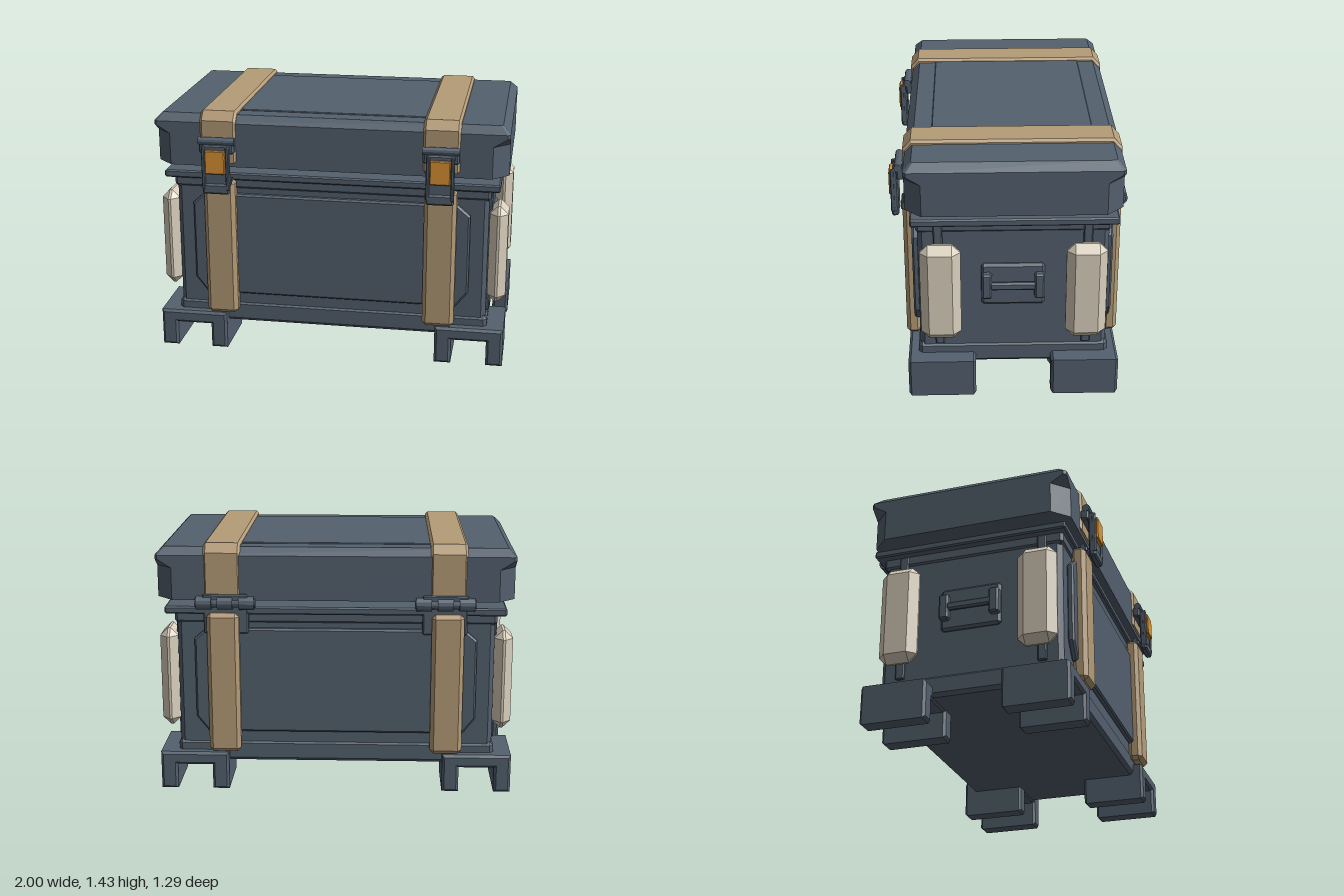
import * as THREE from 'three';
import { ConvexGeometry } from 'three/addons/geometries/ConvexGeometry.js';

const mat = (name, color) => {
  const m = new THREE.MeshStandardMaterial({ color });
  m.name = name;
  return m;
};

export function createModel() {
  const slate = mat('slate shell', 0x53606e);
  const tan = mat('tan strap', 0xb59c77);
  const cream = mat('cream bumper', 0xd9cfbc);
  const orange = mat('orange latch tab', 0xdd9434);

  const root = new THREE.Group();
  root.name = 'storageCrate';
  const add = (name, geometry, material, parent = root) => {
    const m = new THREE.Mesh(geometry, material);
    m.name = name;
    parent.add(m);
    return m;
  };

  // Box between two corners with every edge chamfered by c
  const box = (name, material, [x0, x1], [y0, y1], [z0, z1], c = 0.01, parent = root) => {
    const h = [Math.abs(x1 - x0) / 2, Math.abs(y1 - y0) / 2, Math.abs(z1 - z0) / 2];
    const pts = [];
    for (const sx of [-1, 1]) for (const sy of [-1, 1]) for (const sz of [-1, 1]) {
      for (let k = 0; k < 3; k++) {
        const v = h.map((e, i) => (i === k ? e : e - c));
        pts.push(new THREE.Vector3(sx * v[0], sy * v[1], sz * v[2]));
      }
    }
    const m = add(name, new ConvexGeometry(pts), material, parent);
    m.position.set((x0 + x1) / 2, (y0 + y1) / 2, (z0 + z1) / 2);
    return m;
  };

  // Bevelled extrusion of an outline, kept within the outline and depth
  const extrude = (points, depth, bevel) => {
    const shape = new THREE.Shape(points.map(([x, y]) => new THREE.Vector2(x, y)));
    const g = new THREE.ExtrudeGeometry(shape, {
      depth: depth - 2 * bevel, bevelEnabled: true, bevelSize: bevel,
      bevelThickness: bevel, bevelOffset: -bevel, bevelSegments: 1,
    });
    return g.translate(0, 0, bevel - depth / 2);
  };

  // Rod along x
  const rod = (name, r, length, x, y, z, parent = root) => {
    const g = new THREE.CylinderGeometry(r, r, length, 12).rotateZ(Math.PI / 2).toNonIndexed();
    g.computeVertexNormals();
    add(name, g, slate, parent).position.set(x, y, z);
  };

  // Main body, base band and rim
  box('body', slate, [-0.89, 0.89], [0.2, 1.05], [-0.54, 0.49], 0.025);
  box('baseBand', slate, [-0.9, 0.9], [0.155, 0.28], [-0.55, 0.5], 0.02);
  box('upperBand', slate, [-0.9, 0.9], [0.97, 1.06], [-0.55, 0.5], 0.015);
  box('rim', slate, [-0.95, 0.95], [1.03, 1.073], [-0.587, 0.527], 0.008);

  // Raised eight-sided panels on front and back
  const panel = [[-0.72, 0.34], [0.72, 0.34], [0.79, 0.43], [0.79, 0.885],
    [0.72, 0.945], [-0.72, 0.945], [-0.79, 0.885], [-0.79, 0.43]];
  for (const [name, z] of [['frontPanel', 0.505], ['backPanel', -0.553]]) {
    add(name, extrude(panel, 0.04, 0.01), slate).position.z = z;
  }

  // Lid lofted through eight-sided sections; the corner cut closes near the top
  const section = (y, hx, hz, c) => [
    [hx, hz - c], [hx, c - hz], [hx - c, -hz], [c - hx, -hz],
    [-hx, c - hz], [-hx, hz - c], [c - hx, hz], [hx - c, hz],
  ].map(([x, z]) => [x, y, z - 0.027]);
  const rings = [
    section(1.115, 0.993, 0.577, 0.09),
    section(1.295, 0.993, 0.577, 0.09),
    section(1.342, 0.993, 0.577, 0.015),
    section(1.365, 0.993, 0.577, 0.015),
    section(1.408, 0.95, 0.534, 0.01),
  ];
  const pos = [];
  const tri = (...p) => p.forEach((v) => pos.push(...v));
  for (let r = 0; r < rings.length - 1; r++) {
    for (let i = 0; i < 8; i++) {
      const j = (i + 1) % 8, lo = rings[r], hi = rings[r + 1];
      tri(lo[i], lo[j], hi[j]);
      tri(lo[i], hi[j], hi[i]);
    }
  }
  const top = rings[rings.length - 1], bottom = rings[0];
  for (let i = 1; i < 7; i++) {
    tri(top[0], top[i], top[i + 1]);
    tri(bottom[0], bottom[i + 1], bottom[i]);
  }
  const lid = new THREE.BufferGeometry();
  lid.setAttribute('position', new THREE.Float32BufferAttribute(pos, 3));
  lid.computeVertexNormals();
  add('lid', lid, slate);
  box('lidTopPanel', slate, [-0.6, 0.6], [1.39, 1.414], [-0.465, 0.41], 0.004);

  // Outline of the band over the lid, drawn as (-z, y)
  const band = [[-0.562, 1.14], [0.61, 1.14], [0.61, 1.38], [0.565, 1.43],
    [-0.517, 1.43], [-0.562, 1.38]];
  // Outline of one foot: an upside-down channel
  const channel = [[-0.195, 0], [-0.1, 0], [-0.1, 0.145], [0.1, 0.145], [0.1, 0],
    [0.195, 0], [0.195, 0.22], [-0.195, 0.22]];

  for (const s of [-1, 1]) {
    const cx = s * 0.625;
    const span = (w, c = cx) => [c - w / 2, c + w / 2];
    const side = (a, b) => [s * a, s * b];

    // Straps
    add('lidStrap', extrude(band, 0.205, 0.014).rotateY(Math.PI / 2), tan).position.x = cx;
    box('frontStrap', tan, span(0.18), [0.23, 1.04], [0.49, 0.573], 0.022);
    box('backStrap', tan, span(0.18), [0.23, 1.04], [-0.62, -0.54], 0.022);

    // Front latch
    const latch = new THREE.Group();
    latch.name = 'latch';
    root.add(latch);
    box('latchMount', slate, span(0.2), [1.2, 1.265], [0.55, 0.6], 0.01, latch);
    rod('latchPivot', 0.022, 0.205, cx, 1.272, 0.588, latch);
    box('latchPlate', slate, span(0.155), [1.0, 1.255], [0.592, 0.622], 0.008, latch);
    for (const e of [-1, 1]) {
      box('latchRail', slate, span(0.02, cx + e * 0.068), [1.0, 1.25], [0.61, 0.634], 0.005, latch);
    }
    box('latchFoot', slate, span(0.155), [0.975, 1.035], [0.592, 0.632], 0.01, latch);
    box('latchTab', orange, span(0.113), [1.095, 1.23], [0.62, 0.643], 0.005, latch);
    box('latchCatch', slate, span(0.15), [1.01, 1.045], [0.5, 0.582], 0.008, latch);
    rod('latchHook', 0.014, 0.15, cx, 1.045, 0.557, latch);

    // Rear hinge
    const hx = s * 0.608;
    rod('hingePin', 0.026, 0.335, hx, 1.1, -0.606);
    for (const e of [-1, 0, 1]) rod('hingeKnuckle', 0.038, 0.085, hx + e * 0.118, 1.1, -0.606);
    box('hingeLowerLeaf', slate, span(0.25, hx), [0.92, 1.085], [-0.588, -0.54], 0.008);
    box('hingeUpperLeaf', slate, span(0.25, hx), [1.1, 1.15], [-0.622, -0.59], 0.006);

    // Feet, corner ribs and bumpers
    for (const z of [0.37, -0.418]) {
      add('foot', extrude(channel, 0.373, 0.014), slate).position.set(s * 0.803, 0, z);
    }
    for (const z of [0.38, -0.425]) {
      box('sideRib', slate, side(0.87, 0.907), [0.28, 1.03], [z - 0.025, z + 0.025], 0.006);
    }
    for (const z of [0.37, -0.418]) {
      box('bumper', cream, side(0.893, 0.997), [0.35, 0.925], [z - 0.11, z + 0.11], 0.045);
    }

    // Side handle
    box('handlePlate', slate, side(0.87, 0.912), [0.53, 0.78], [-0.195, 0.15], 0.014);
    for (const z of [0.12, -0.166]) {
      box('handleBracket', slate, side(0.89, 0.95), [0.585, 0.735], [z - 0.028, z + 0.028], 0.01);
    }
    box('handleGrip', slate, side(0.918, 0.948), [0.637, 0.683], [-0.15, 0.105], 0.01);
  }
  return root;
}
